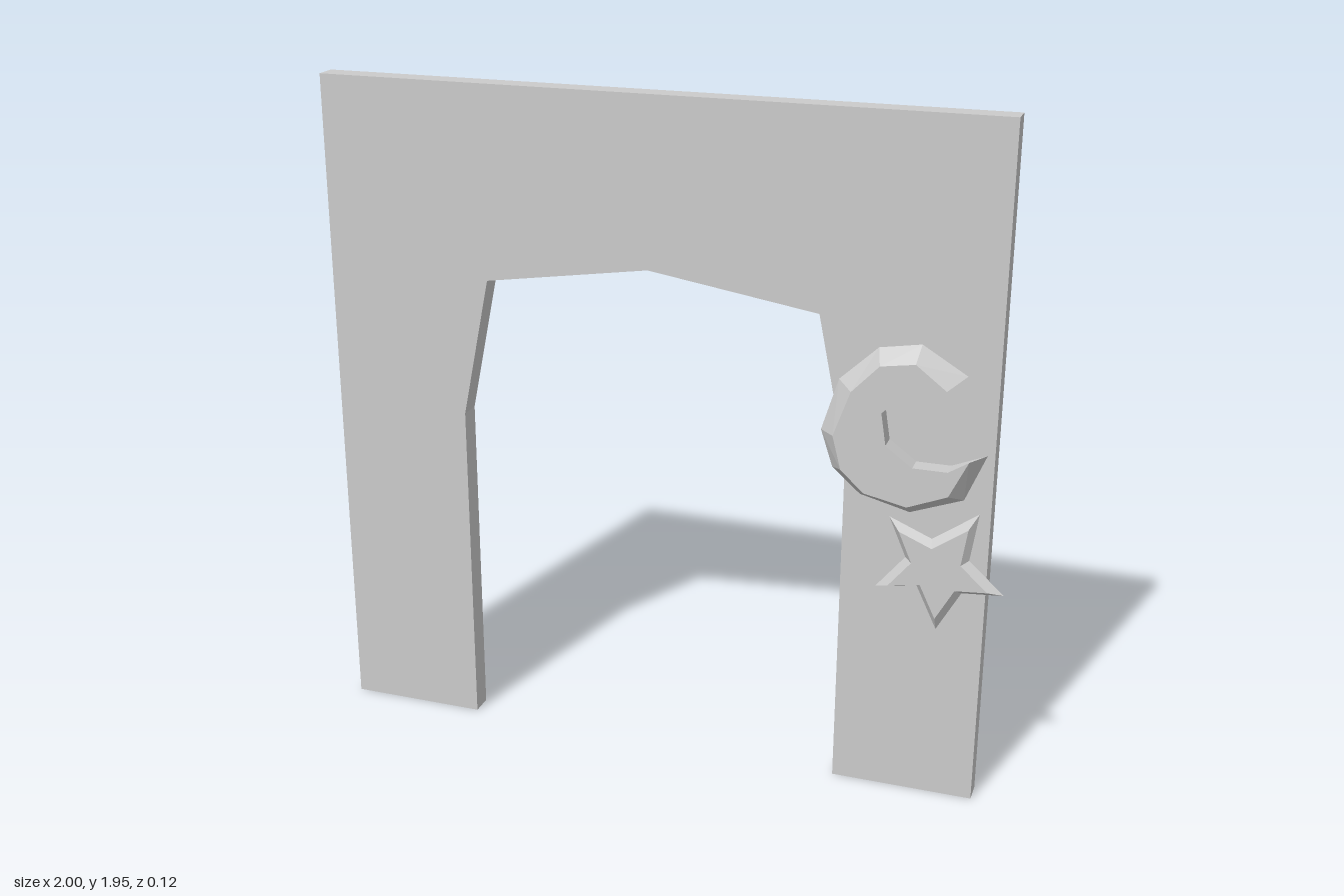
import * as THREE from 'three';

const WALL_BACK = -0.06, WALL_FRONT = 0.006;
const material = new THREE.MeshStandardMaterial({ color: 0xcccccc, flatShading: true });

const toVectors = (points) => points.map(([x, y]) => new THREE.Vector2(x, y));

// Closed solid between two matching counter-clockwise outlines at different depths
function bevelledSolid(base, front, zBase, zFront) {
  const positions = [];
  const put = ([x, y], z) => positions.push(x, y, z);
  const n = base.length;
  for (let i = 0; i < n; i++) {
    const j = (i + 1) % n;
    put(base[i], zBase); put(base[j], zBase); put(front[j], zFront);
    put(base[i], zBase); put(front[j], zFront); put(front[i], zFront);
  }
  for (const [a, b, c] of THREE.ShapeUtils.triangulateShape(toVectors(front), [])) {
    put(front[a], zFront); put(front[b], zFront); put(front[c], zFront);
  }
  for (const [a, b, c] of THREE.ShapeUtils.triangulateShape(toVectors(base), [])) {
    put(base[c], zBase); put(base[b], zBase); put(base[a], zBase);
  }
  const geometry = new THREE.BufferGeometry();
  geometry.setAttribute('position', new THREE.Float32BufferAttribute(positions, 3));
  geometry.computeVertexNormals();
  return geometry;
}

export function createModel() {
  const group = new THREE.Group();
  group.name = 'archway';
  const add = (name, geometry) => {
    const mesh = new THREE.Mesh(geometry, material);
    mesh.name = name;
    group.add(mesh);
  };

  // Slab with a faceted arch opening
  const wall = new THREE.Shape(toVectors([
    [-1, 0], [-0.595, 0], [-0.595, 0.985], [-0.51, 1.395], [-0.03, 1.47],
    [0.455, 1.395], [0.54, 0.985], [0.54, 0], [0.945, 0], [0.945, 1.95], [-1, 1.95],
  ]));
  const wallGeometry = new THREE.ExtrudeGeometry(wall, { depth: WALL_FRONT - WALL_BACK, bevelEnabled: false });
  add('archWall', wallGeometry.translate(0, 0, WALL_BACK));

  // Crescent: sloped outer rim, straight inner rim
  const innerRim = [[0.83, 1.01], [0.735, 1.01], [0.66, 1.065], [0.645, 1.155], [0.70, 1.21]];
  const outerBase = [
    [0.86, 1.265], [0.735, 1.34], [0.62, 1.32], [0.515, 1.22], [0.47, 1.07],
    [0.505, 0.965], [0.585, 0.895], [0.725, 0.86], [0.87, 0.915], [0.925, 1.05],
  ];
  const outerFront = [
    [0.815, 1.235], [0.73, 1.30], [0.635, 1.285], [0.56, 1.205], [0.515, 1.075],
    [0.54, 0.98], [0.605, 0.92], [0.725, 0.895], [0.835, 0.94], [0.885, 1.045],
  ];
  add('crescent', bevelledSolid(
    [...outerBase, ...innerRim], [...outerFront, ...innerRim], WALL_FRONT, 0.059));

  // Star: the front face is the base outline shrunk about its centre
  const starBase = [
    [0.67, 0.84], [0.72, 0.725], [0.64, 0.625], [0.755, 0.645], [0.815, 0.52],
    [0.88, 0.64], [0.995, 0.65], [0.895, 0.74], [0.915, 0.88], [0.79, 0.79],
  ];
  const starFront = starBase.map(([x, y]) => [0.81 + (x - 0.81) * 0.77, 0.7 + (y - 0.7) * 0.77]);
  add('star', bevelledSolid(starBase, starFront, WALL_FRONT, 0.028));

  return group;
}
